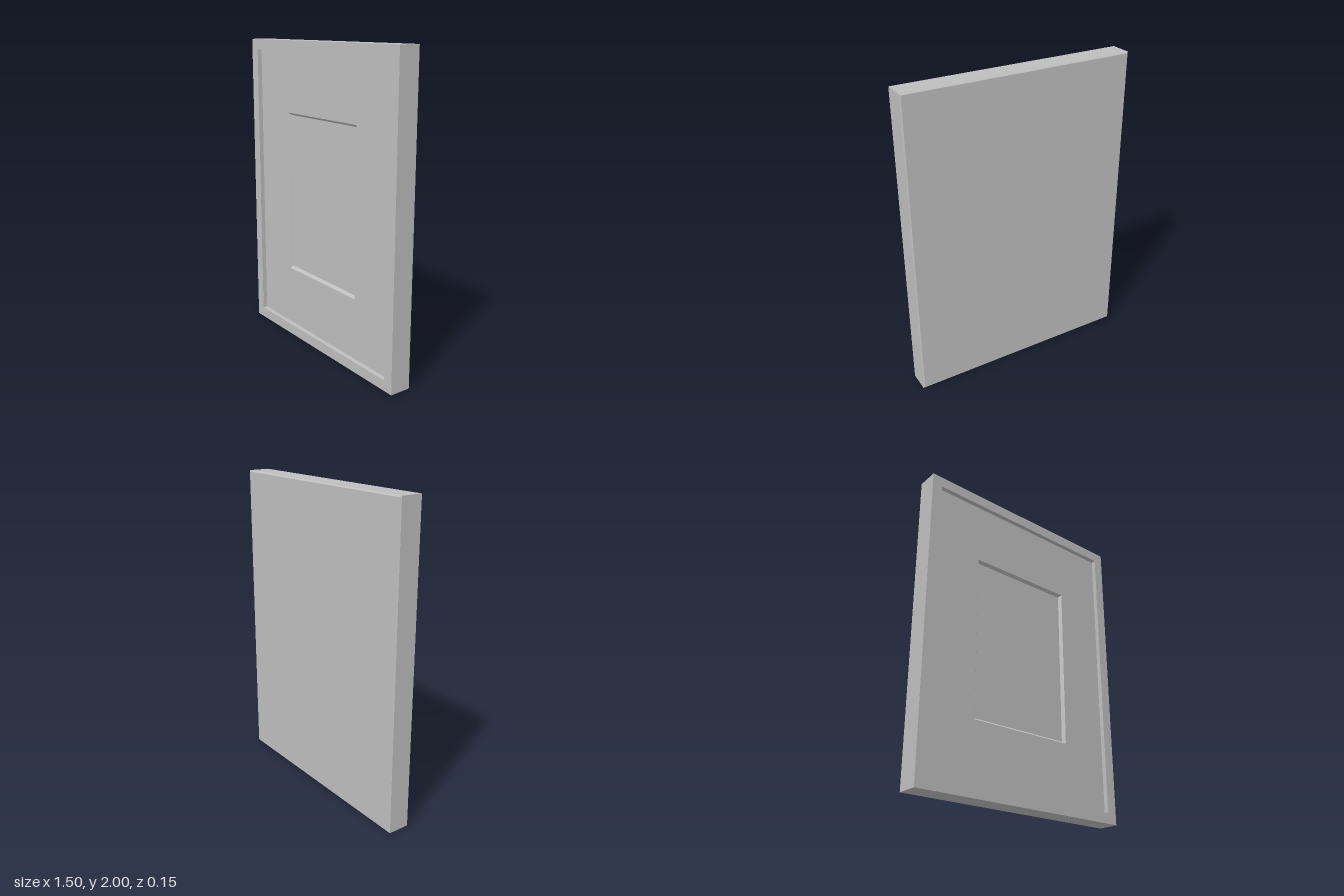
import * as THREE from 'three';

const W = 0.748, H = 1; // half width and half height of the outer frame

// Sweeps a profile of [inset, z] points along one mitred side (0 bottom, 1 right, 2 top, 3 left)
function mitredSide(profile, side, w, h) {
  const signs = [[-1, -1], [1, -1], [1, 1], [-1, 1]];
  const corner = (k, [inset, z]) => {
    const [sx, sy] = signs[k % 4];
    return [sx * (w - inset), 1 + sy * (h - inset), z];
  };
  const pos = [];
  for (let i = 0; i < profile.length - 1; i++) {
    const a = corner(side, profile[i]), b = corner(side + 1, profile[i]);
    const c = corner(side + 1, profile[i + 1]), d = corner(side, profile[i + 1]);
    pos.push(...a, ...b, ...c, ...a, ...c, ...d);
  }
  const g = new THREE.BufferGeometry();
  g.setAttribute('position', new THREE.Float32BufferAttribute(pos, 3));
  g.computeVertexNormals();
  return g;
}

export function createModel() {
  const model = new THREE.Group();
  model.name = 'pictureFrame';
  const grey = new THREE.MeshStandardMaterial({ color: 0xbebebe });
  const add = (name, geometry, parent = model) => {
    const mesh = new THREE.Mesh(geometry, grey);
    mesh.name = name;
    parent.add(mesh);
    return mesh;
  };

  // Four mitred mouldings: chamfered back edge, outer side, front face, inner lip
  const frame = new THREE.Group();
  frame.name = 'frame';
  model.add(frame);
  const moulding = [[0.07, -0.073], [0.008, -0.073], [0, -0.065], [0, 0.073], [0.068, 0.073], [0.068, 0.03]];
  // Bevelled cut of the mat window
  const windowBevel = new THREE.Group();
  windowBevel.name = 'matBevel';
  model.add(windowBevel);
  const bevel = [[0, 0.043], [0.015, 0.023]];
  ['bottom', 'right', 'top', 'left'].forEach((label, i) => {
    const own = { right: 'left', left: 'right' }[label] ?? label;
    add(own + 'Moulding', mitredSide(moulding, i, W, H), frame);
    add(own + 'Bevel', mitredSide(bevel, i, 0.358, 0.536), windowBevel);
  });

  // Mat face with its rectangular window
  const rect = (C, w, h) => new C([[-w, -h], [w, -h], [w, h], [-w, h]].map(([x, y]) => new THREE.Vector2(x, y + 1)));
  const mat = rect(THREE.Shape, W - 0.068, H - 0.068);
  mat.holes.push(rect(THREE.Path, 0.358, 0.536));
  add('mat', new THREE.ShapeGeometry(mat)).position.z = 0.043;

  // Picture panel seen through the window
  add('picture', new THREE.PlaneGeometry(0.686, 1.042)).position.set(0, 1, 0.023);

  // Flat backing board, flush with the back of the mouldings
  add('backing', new THREE.BoxGeometry(2 * (W - 0.07), 2 * (H - 0.07), 0.02)).position.set(0, 1, -0.063);

  return model;
}
